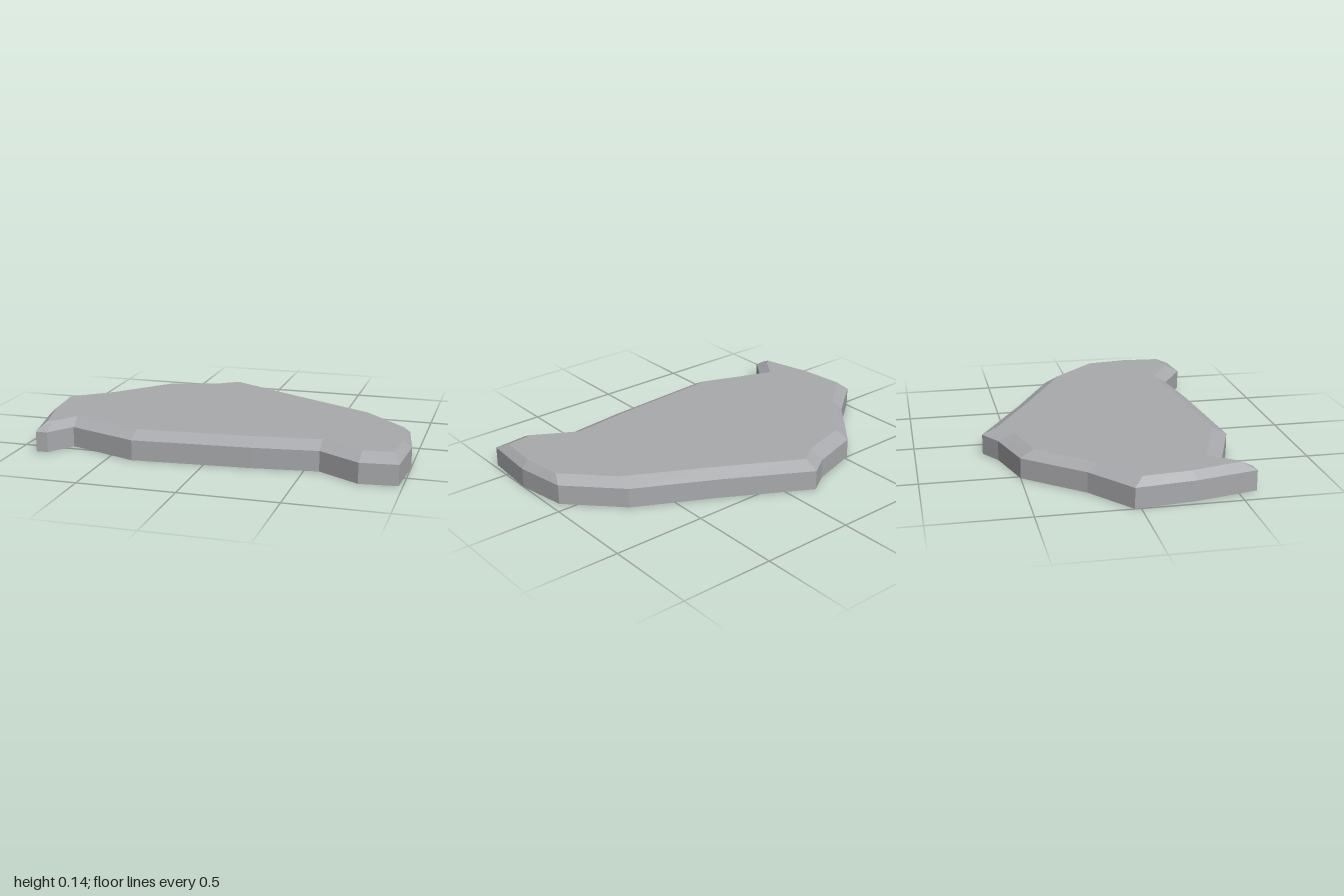
import * as THREE from 'three';

// Outline corners, counter-clockwise from above: outer x, z, then bevelled top x, z
const CORNERS = [
  [-0.14, -0.65, -0.14, -0.57], [-0.25, -0.58, -0.25, -0.495],
  [-0.52, -0.50, -0.50, -0.43], [-0.765, -0.21, -0.75, -0.15],
  [-1.0, -0.03, -0.955, 0.015], [-0.965, 0.28, -0.93, 0.26],
  [-0.895, 0.595, -0.865, 0.52], [-0.835, 0.59, -0.845, 0.51],
  [-0.745, 0.46, -0.755, 0.38], [-0.37, 0.60, -0.365, 0.525],
  [0.25, 0.555, 0.25, 0.48], [0.575, 0.515, 0.575, 0.44],
  [0.79, 0.645, 0.795, 0.565], [0.98, 0.625, 0.945, 0.55],
  [1.0, 0.33, 0.96, 0.335], [0.955, 0.065, 0.93, 0.12],
  [0.705, -0.19, 0.705, -0.11], [0.30, -0.40, 0.30, -0.325],
];
const EDGE_HEIGHT = 0.105;
const TOP_HEIGHT = 0.143;

function slabGeometry() {
  const ring = (y, k) => CORNERS.map((c) => new THREE.Vector3(c[k], y, c[k + 1]));
  const rings = [ring(0, 0), ring(EDGE_HEIGHT, 0), ring(TOP_HEIGHT, 2)];
  const points = [];

  // Upright wall, then sloping bevel
  for (let r = 0; r < 2; r++) {
    const lower = rings[r], upper = rings[r + 1];
    lower.forEach((a, i) => {
      const j = (i + 1) % lower.length;
      points.push(a, lower[j], upper[j], a, upper[j], upper[i]);
    });
  }

  // Flat caps, with the underside turned to face down
  const cap = (loop, down) => {
    const flat = loop.map((p) => new THREE.Vector2(p.x, -p.z));
    for (const [a, b, c] of THREE.ShapeUtils.triangulateShape(flat, [])) {
      points.push(loop[a], loop[down ? c : b], loop[down ? b : c]);
    }
  };
  cap(rings[2], false);
  cap(rings[0], true);

  const geometry = new THREE.BufferGeometry().setFromPoints(points);
  geometry.computeVertexNormals(); // unshared corners give crisp facets
  return geometry;
}

export function createModel() {
  const stone = new THREE.MeshStandardMaterial({ color: 0xa9aaad });
  stone.name = 'stone grey';

  const slab = new THREE.Mesh(slabGeometry(), stone);
  slab.name = 'bevelledStoneSlab';

  const model = new THREE.Group();
  model.name = 'flatStone';
  model.add(slab);
  return model;
}
